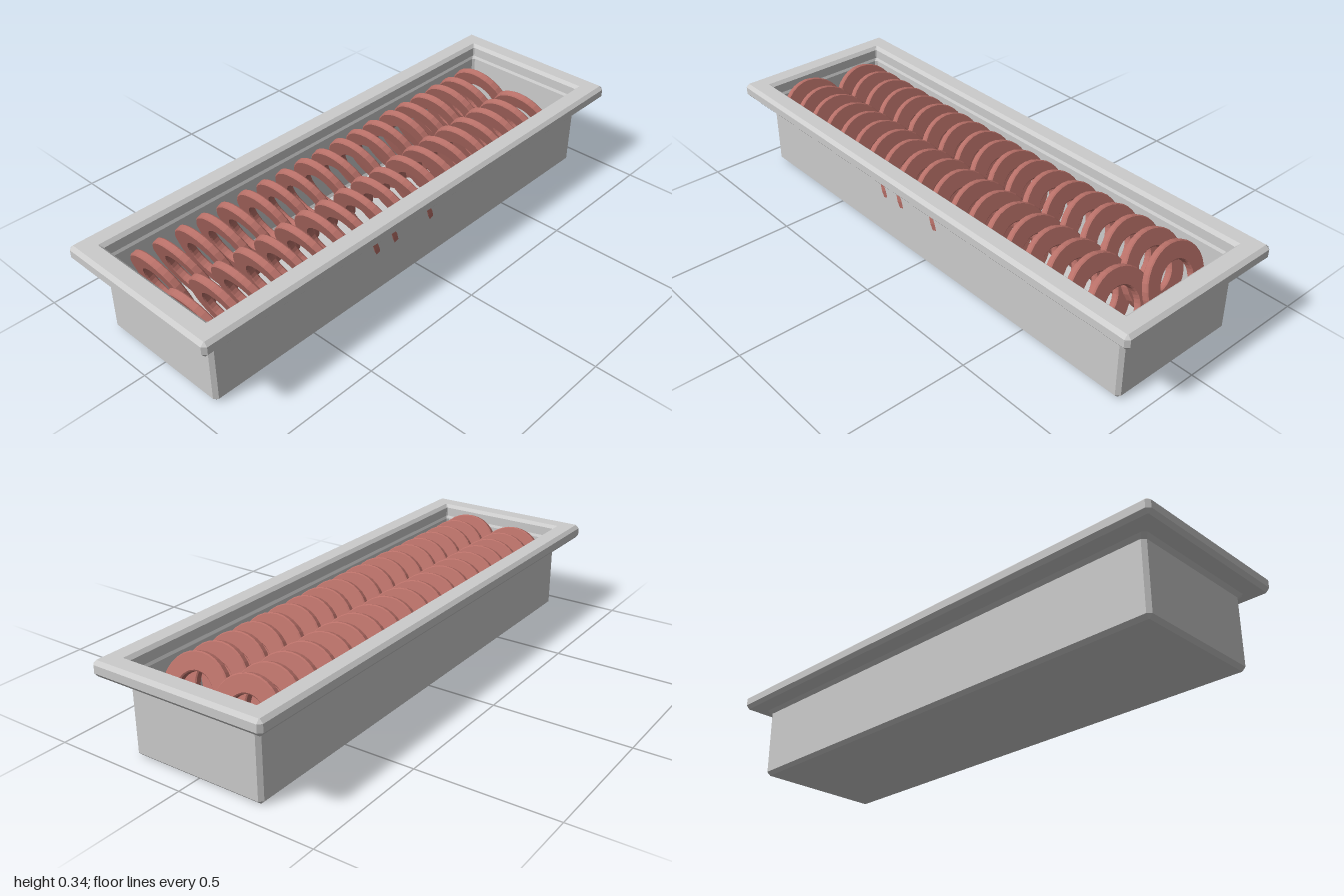
import * as THREE from 'three';

// Closed skin through rectangular loops with cut corners: [halfWidth, y, cornerCut]
function loftTray(loops, extraLength) {
  const pos = [], idx = [];
  for (const [hx, y, c] of loops) {
    const hz = hx + extraLength;
    for (const [x, z] of [
      [hx, hz - c], [hx - c, hz], [-hx + c, hz], [-hx, hz - c],
      [-hx, -hz + c], [-hx + c, -hz], [hx - c, -hz], [hx, -hz + c],
    ]) pos.push(x, y, z);
  }
  for (let r = 0; r < loops.length - 1; r++) {
    for (let i = 0; i < 8; i++) {
      const a = r * 8 + i, b = r * 8 + (i + 1) % 8;
      idx.push(a, a + 8, b, b, a + 8, b + 8);
    }
  }
  // Underside faces down, inner floor faces up
  const last = (loops.length - 1) * 8;
  for (let i = 1; i < 7; i++) {
    idx.push(0, i, i + 1);
    idx.push(last, last + i + 1, last + i);
  }
  const indexed = new THREE.BufferGeometry();
  indexed.setAttribute('position', new THREE.Float32BufferAttribute(pos, 3));
  indexed.setIndex(idx);
  const geo = indexed.toNonIndexed();
  // Corner order runs clockwise from above, so flip every triangle outward
  const p = geo.attributes.position, v = new THREE.Vector3(), w = new THREE.Vector3();
  if (signedVolume(p) < 0) {
    for (let i = 0; i < p.count; i += 3) {
      v.fromBufferAttribute(p, i + 1);
      w.fromBufferAttribute(p, i + 2);
      p.setXYZ(i + 1, w.x, w.y, w.z);
      p.setXYZ(i + 2, v.x, v.y, v.z);
    }
  }
  geo.computeVertexNormals();
  return geo;
}

function signedVolume(p) {
  const a = new THREE.Vector3(), b = new THREE.Vector3(), c = new THREE.Vector3();
  let sum = 0;
  for (let i = 0; i < p.count; i += 3) {
    a.fromBufferAttribute(p, i);
    b.fromBufferAttribute(p, i + 1);
    c.fromBufferAttribute(p, i + 2);
    sum += a.dot(b.cross(c));
  }
  return sum;
}

// Flat ring with a hole and bevelled edges, its axis along z
function ringGeometry(outer, inner, thickness) {
  const h = thickness / 2, b = 0.004;
  const profile = [
    [inner, -h + b], [inner + b, -h], [outer - b, -h], [outer, -h + b],
    [outer, h - b], [outer - b, h], [inner + b, h], [inner, h - b], [inner, -h + b],
  ].map(([r, y]) => new THREE.Vector2(r, y));
  const geo = new THREE.LatheGeometry(profile, 32).toNonIndexed();
  geo.computeVertexNormals();
  return geo.rotateX(Math.PI / 2);
}

export function createModel() {
  const model = new THREE.Group();
  model.name = 'ringTray';

  // Tray: outside from the base up, over the rim, down to the inner floor
  const tray = new THREE.Mesh(
    loftTray([
      [0.242, 0, 0.002], [0.255, 0.013, 0.013], [0.255, 0.26, 0.013],
      [0.268, 0.273, 0.013], [0.318, 0.283, 0.002], [0.33, 0.297, 0.013],
      [0.33, 0.325, 0.013], [0.317, 0.337, 0.002],
      [0.262, 0.337, 0.002], [0.25, 0.325, 0.004], [0.25, 0.29, 0.004],
      [0.245, 0.28, 0.008], [0.245, 0.025, 0.008], [0.238, 0.015, 0.002],
    ], 0.67),
    new THREE.MeshStandardMaterial({ color: 0xcccccc, flatShading: true })
  );
  tray.name = 'tray';
  model.add(tray);

  // Two rows of leaning rings
  const ringMaterial = new THREE.MeshStandardMaterial({ color: 0xb87068, flatShading: true });
  const ringShape = ringGeometry(0.139, 0.075, 0.027);
  const proud = [8, 10, 11]; // rings that just touch through the left wall
  const rows = [
    { name: 'rightRingRow', x: -0.114, first: -0.81, last: 0.81 },
    { name: 'leftRingRow', x: 0.114, first: -0.785, last: 0.848 },
  ];
  const count = 19;
  for (const { name, x, first, last } of rows) {
    const row = new THREE.Group();
    row.name = name;
    for (let i = 0; i < count; i++) {
      const ring = new THREE.Mesh(ringShape, ringMaterial);
      ring.name = 'ring';
      const shift = x > 0 && proud.includes(i) ? 0.0045 : 0;
      ring.position.set(x + shift, 0.192, first + (last - first) * i / (count - 1));
      ring.rotation.x = 0.35 + 0.02 * Math.sin(i * 2.4 + x * 9);
      row.add(ring);
    }
    model.add(row);
  }
  return model;
}
